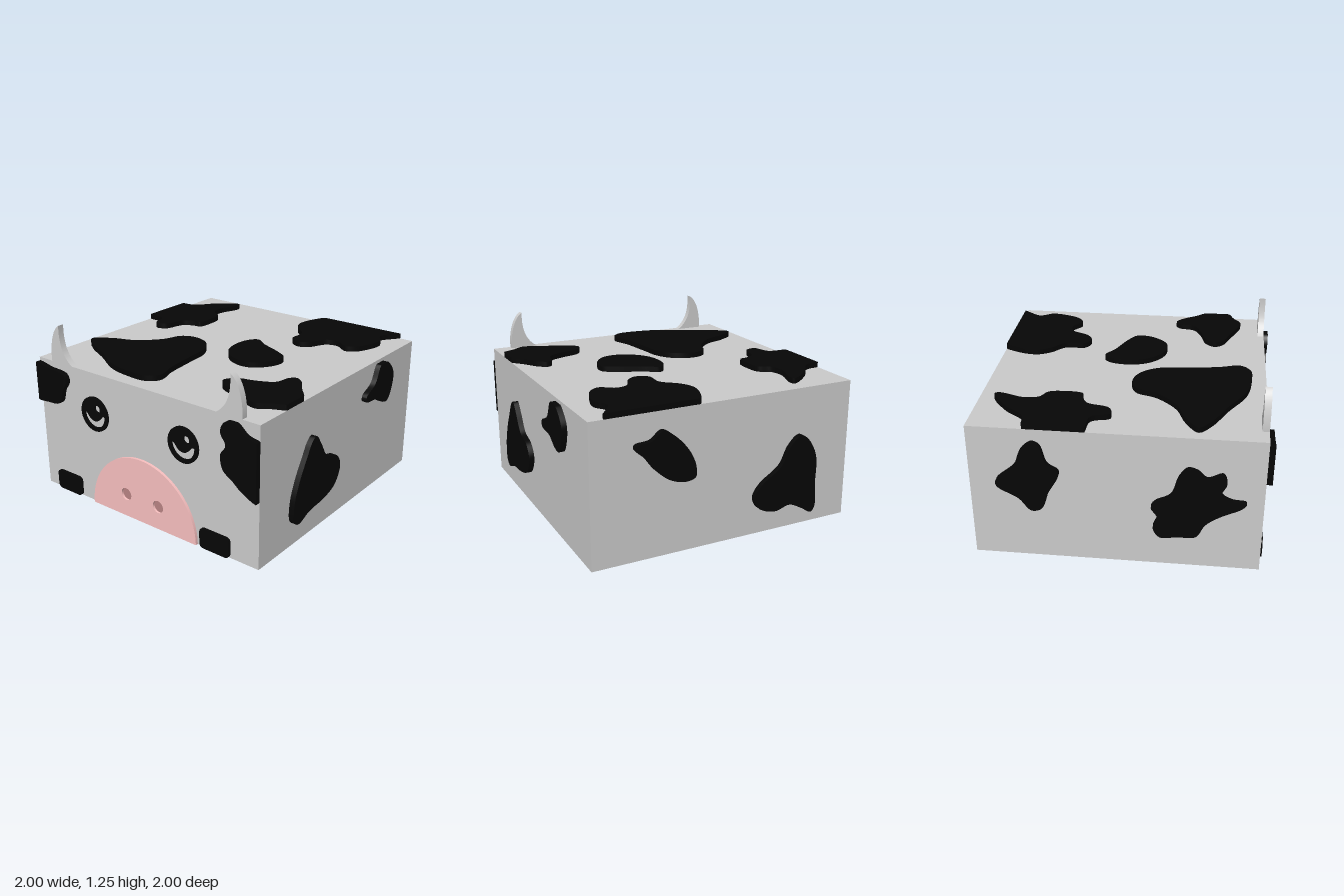
import * as THREE from 'three';
import { toCreasedNormals } from 'three/addons/utils/BufferGeometryUtils.js';

const HALF = 0.96, HEIGHT = 0.985, SPOT = 0.038;
const grey = new THREE.MeshStandardMaterial({ color: 0xcccccc });
const black = new THREE.MeshStandardMaterial({ color: 0x060606 });
const pink = new THREE.MeshStandardMaterial({ color: 0xf8c0c0 });
const darkPink = new THREE.MeshStandardMaterial({ color: 0xb98484 });

// Flat plate raised from a shape, smooth around its rim
function plate(name, shape, depth, material) {
  const flat = new THREE.ExtrudeGeometry(shape, { depth, bevelEnabled: false, curveSegments: 32 });
  const mesh = new THREE.Mesh(toCreasedNormals(flat, 0.6), material);
  mesh.name = name;
  return mesh;
}

// Smooth closed outline through [u, v] points, cut off straight at the box edges
function blob(points, su, sv) {
  const pts = points.map(([u, v]) => new THREE.Vector3(u * su, v * sv, 0));
  const curve = new THREE.CatmullRomCurve3(pts, true, 'centripetal');
  const out = [];
  for (const p of curve.getPoints(points.length * 7).slice(0, -1)) {
    const q = new THREE.Vector2(
      THREE.MathUtils.clamp(p.x, -HALF, HALF), THREE.MathUtils.clamp(p.y, -HALF, HALF));
    // keep only the ends of a run along an edge
    const n = out.length;
    if (n > 1 && [out[n - 1], out[n - 2]].every(o => Math.abs(q.x) === HALF && o.x === q.x)) out.pop();
    else if (n > 1 && [out[n - 1], out[n - 2]].every(o => Math.abs(q.y) === HALF && o.y === q.y)) out.pop();
    out.push(q);
  }
  return new THREE.Shape(out);
}

function circle(x, y, r, Type = THREE.Path) {
  return new Type().absarc(x, y, r, 0, Math.PI * 2, false);
}

// Each side of the box: position, rotation and signs from outline points to local axes
const SIDES = {
  top: { pos: [0, HEIGHT, 0], rot: [-Math.PI / 2, 0, 0], sign: [1, -1] },
  front: { pos: [0, 0, HALF], rot: [0, 0, 0], sign: [1, 1] },
  back: { pos: [0, 0, -HALF], rot: [0, Math.PI, 0], sign: [-1, 1] },
  left: { pos: [HALF, 0, 0], rot: [0, Math.PI / 2, 0], sign: [-1, 1] },
  face: { pos: [-HALF, 0, 0], rot: [0, -Math.PI / 2, 0], sign: [1, 1] },
};

// Spot outlines: top uses (x, z), front and back (x, y), left and face (z, y)
const SPOTS = {
  top: [
    [[-0.52, -0.885], [-0.43, -0.77], [-0.36, -0.6], [-0.22, -0.46], [-0.08, -0.4], [-0.04, -0.3], [-0.08, -0.17],
      [-0.2, -0.08], [-0.4, -0.05], [-0.62, -0.02], [-0.78, 0.02], [-0.85, -0.05], [-0.855, -0.2], [-0.82, -0.38],
      [-0.7, -0.6], [-0.6, -0.8]],
    [[0.21, -1], [0.57, -1], [0.61, -0.85], [0.74, -0.74], [0.855, -0.575], [0.82, -0.56], [0.65, -0.61],
      [0.55, -0.59], [0.5, -0.515], [0.4, -0.495], [0.27, -0.51], [0.26, -0.56], [0.22, -0.64], [0.07, -0.69],
      [0.05, -0.77], [0.17, -0.82]],
    [[0.03, 0.03], [0.15, 0.05], [0.2, 0.1], [0.14, 0.2], [0.06, 0.38], [0, 0.46], [-0.1, 0.455],
      [-0.22, 0.36], [-0.24, 0.26], [-0.2, 0.15], [-0.1, 0.06]],
    [[-0.59, 0.4], [-0.52, 0.45], [-0.48, 0.58], [-0.42, 0.69], [-0.31, 0.72], [-0.28, 0.76], [-0.32, 0.82],
      [-0.42, 0.89], [-0.54, 0.98], [-0.67, 0.98], [-0.73, 0.87], [-0.78, 0.79], [-0.76, 0.7], [-0.7, 0.56],
      [-0.65, 0.44]],
    [[0.99, 0.24], [0.88, 0.16], [0.72, 0.125], [0.62, 0.17], [0.52, 0.27], [0.38, 0.28], [0.34, 0.36],
      [0.38, 0.43], [0.5, 0.5], [0.52, 0.58], [0.46, 0.68], [0.5, 0.75], [0.6, 0.8], [0.72, 0.82], [0.82, 0.77],
      [0.99, 0.86]],
  ],
  front: [
    [[-0.4, 0.72], [-0.34, 0.65], [-0.26, 0.53], [-0.13, 0.48], [-0.08, 0.39], [-0.14, 0.27], [-0.27, 0.22],
      [-0.45, 0.2], [-0.58, 0.16], [-0.63, 0.2], [-0.63, 0.33], [-0.58, 0.47], [-0.5, 0.61], [-0.45, 0.69]],
    [[0.45, 0.98], [0.53, 0.95], [0.61, 0.86], [0.61, 0.77], [0.55, 0.66], [0.48, 0.665], [0.38, 0.72],
      [0.24, 0.74], [0.24, 0.78], [0.35, 0.84], [0.41, 0.95]],
  ],
  back: [
    [[0.53, 0.905], [0.48, 0.88], [0.435, 0.75], [0.365, 0.7], [0.365, 0.66], [0.43, 0.54], [0.48, 0.41],
      [0.55, 0.39], [0.63, 0.48], [0.77, 0.565], [0.775, 0.61], [0.65, 0.73], [0.6, 0.85]],
    [[-0.465, 0.775], [-0.53, 0.76], [-0.59, 0.71], [-0.69, 0.745], [-0.715, 0.685], [-0.685, 0.6], [-0.75, 0.555],
      [-0.845, 0.54], [-0.82, 0.505], [-0.68, 0.43], [-0.59, 0.36], [-0.53, 0.26], [-0.41, 0.25], [-0.295, 0.24],
      [-0.25, 0.31], [-0.275, 0.4], [-0.235, 0.47], [-0.26, 0.51], [-0.36, 0.57], [-0.41, 0.71]],
  ],
  left: [
    [[0.48, 0.865], [0.4, 0.82], [0.3, 0.71], [0.25, 0.6], [0.25, 0.52], [0.32, 0.5], [0.43, 0.53], [0.53, 0.61],
      [0.6, 0.7], [0.67, 0.77], [0.66, 0.795], [0.56, 0.81]],
    [[-0.55, 0.665], [-0.61, 0.63], [-0.68, 0.5], [-0.685, 0.3], [-0.69, 0.12], [-0.66, 0.085], [-0.58, 0.13],
      [-0.48, 0.175], [-0.36, 0.15], [-0.23, 0.2], [-0.2, 0.28], [-0.25, 0.36], [-0.4, 0.47], [-0.47, 0.6]],
  ],
  face: [
    [[0.99, 0.86], [0.88, 0.9], [0.79, 0.965], [0.72, 0.95], [0.69, 0.88], [0.73, 0.8], [0.69, 0.73],
      [0.71, 0.63], [0.78, 0.58], [0.86, 0.52], [0.99, 0.48]],
    [[-0.99, 0.95], [-0.83, 0.94], [-0.68, 0.92], [-0.66, 0.87], [-0.7, 0.8], [-0.74, 0.7], [-0.85, 0.68],
      [-0.99, 0.69]],
  ],
};

// Eye: dark disc with an open lower half and a small highlight
function makeEye(u, v) {
  const shape = circle(0, 0, 0.125, THREE.Shape);
  const lower = new THREE.Path();
  lower.absarc(0, 0, 0.097, Math.PI, Math.PI * 2, false);
  lower.bezierCurveTo(0.06, 0.02, 0.06, -0.05, 0, -0.05);
  lower.bezierCurveTo(-0.06, -0.05, -0.06, 0.02, -0.097, 0);
  shape.holes.push(lower, circle(0.03, 0.045, 0.026));
  const eye = plate('eye', shape, 0.015, black);
  eye.position.set(u, v, 0);
  return eye;
}

function makeHoof(u) {
  const w = 0.12, h = 0.145, r = 0.035;
  const s = new THREE.Shape();
  s.moveTo(-w + r, 0).lineTo(w - r, 0).quadraticCurveTo(w, 0, w, r);
  s.lineTo(w, h - r).quadraticCurveTo(w, h, w - r, h);
  s.lineTo(-w + r, h).quadraticCurveTo(-w, h, -w, h - r);
  s.lineTo(-w, r).quadraticCurveTo(-w, 0, -w + r, 0);
  const hoof = plate('hoof', s, 0.02, black);
  hoof.position.x = u;
  return hoof;
}

// Half-round muzzle with two sunken nostrils
function makeMuzzle() {
  const group = new THREE.Group();
  group.name = 'muzzle';
  const shape = new THREE.Shape().absarc(0, 0, 0.47, 0, Math.PI, false);
  for (const u of [-0.145, 0.145]) {
    shape.holes.push(circle(u, 0.17, 0.045));
    const nostril = new THREE.Mesh(new THREE.CircleGeometry(0.046, 32), darkPink);
    nostril.name = 'nostril';
    nostril.position.set(u, 0.17, 0.005);
    group.add(nostril);
  }
  group.add(plate('muzzlePlate', shape, 0.02, pink));
  return group;
}

// Curved horn standing on the top edge above the face
function makeHorn(side) {
  const s = new THREE.Shape();
  s.moveTo(0.828 * side, HEIGHT);
  s.bezierCurveTo(0.835 * side, 1.1, 0.8 * side, 1.22, 0.738 * side, 1.255);
  s.bezierCurveTo(0.745 * side, 1.14, 0.72 * side, 1.04, 0.63 * side, HEIGHT);
  s.closePath();
  const horn = plate('horn', s, 0.045, grey);
  horn.position.z = -0.045;
  return horn;
}

export function createModel() {
  const model = new THREE.Group();
  model.name = 'cowBox';

  const body = new THREE.Mesh(new THREE.BoxGeometry(HALF * 2, HEIGHT, HALF * 2), grey);
  body.name = 'body';
  body.position.y = HEIGHT / 2;
  model.add(body);

  // Spots on every side
  for (const [name, { pos, rot, sign }] of Object.entries(SIDES)) {
    const side = new THREE.Group();
    side.name = name + 'Side';
    side.position.set(...pos);
    side.rotation.set(...rot);
    for (const points of SPOTS[name]) side.add(plate('spot', blob(points, ...sign), SPOT, black));
    // Facial features
    if (name === 'face') {
      side.add(makeEye(-0.42, 0.69), makeEye(0.37, 0.69), makeMuzzle());
      side.add(makeHoof(-0.72), makeHoof(0.62), makeHorn(1), makeHorn(-1));
    }
    model.add(side);
  }
  return model;
}
